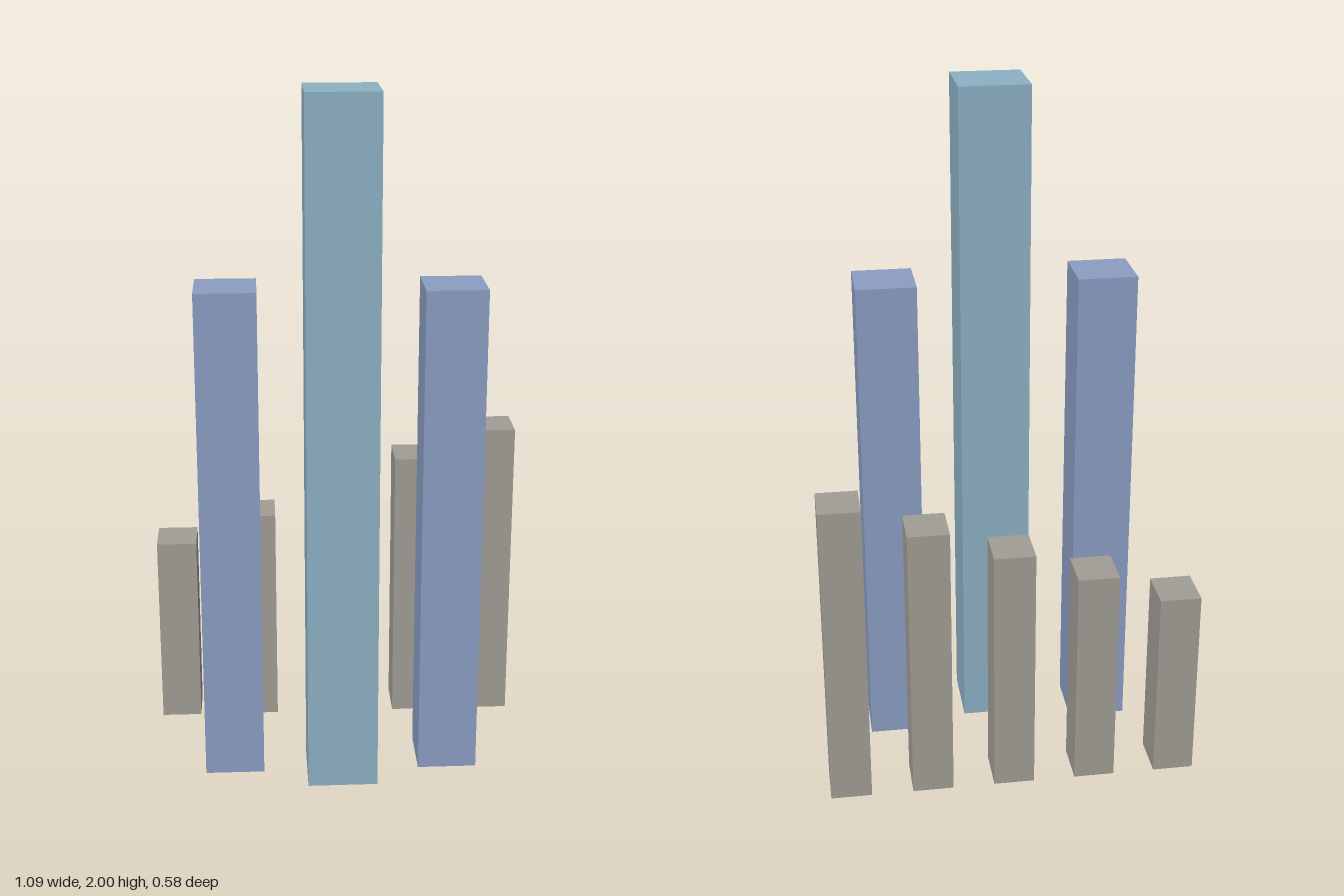
import * as THREE from 'three';

const material = (name, color) => {
  const m = new THREE.MeshStandardMaterial({ color });
  m.name = name;
  return m;
};

export function createModel() {
  const teal = material('pale teal', 0x8db1c5);
  const blue = material('soft blue', 0x8b9ec3);
  const grey = material('warm grey', 0xa19e96);
  const model = new THREE.Group();
  model.name = 'towers';

  // Square-cut tower standing on the ground
  const tower = (name, mat, x, z, width, height, depth) => {
    const mesh = new THREE.Mesh(new THREE.BoxGeometry(width, height, depth), mat);
    mesh.name = name;
    mesh.position.set(x, height / 2, z);
    model.add(mesh);
  };

  // Tall centre tower, flanked by a matching pair
  tower('centreTower', teal, 0, 0.189, 0.202, 2, 0.202);
  tower('leftTower', blue, 0.315, 0.116, 0.172, 1.459, 0.172);
  tower('rightTower', blue, -0.315, 0.116, 0.172, 1.459, 0.172);

  // Back row, rising towards the left
  for (let i = 0; i < 5; i++) {
    tower(`backTower${i + 1}`, grey, (i - 2) * 0.2425, -0.225, 0.12, 0.585 + i * 0.0876, 0.135);
  }
  return model;
}
